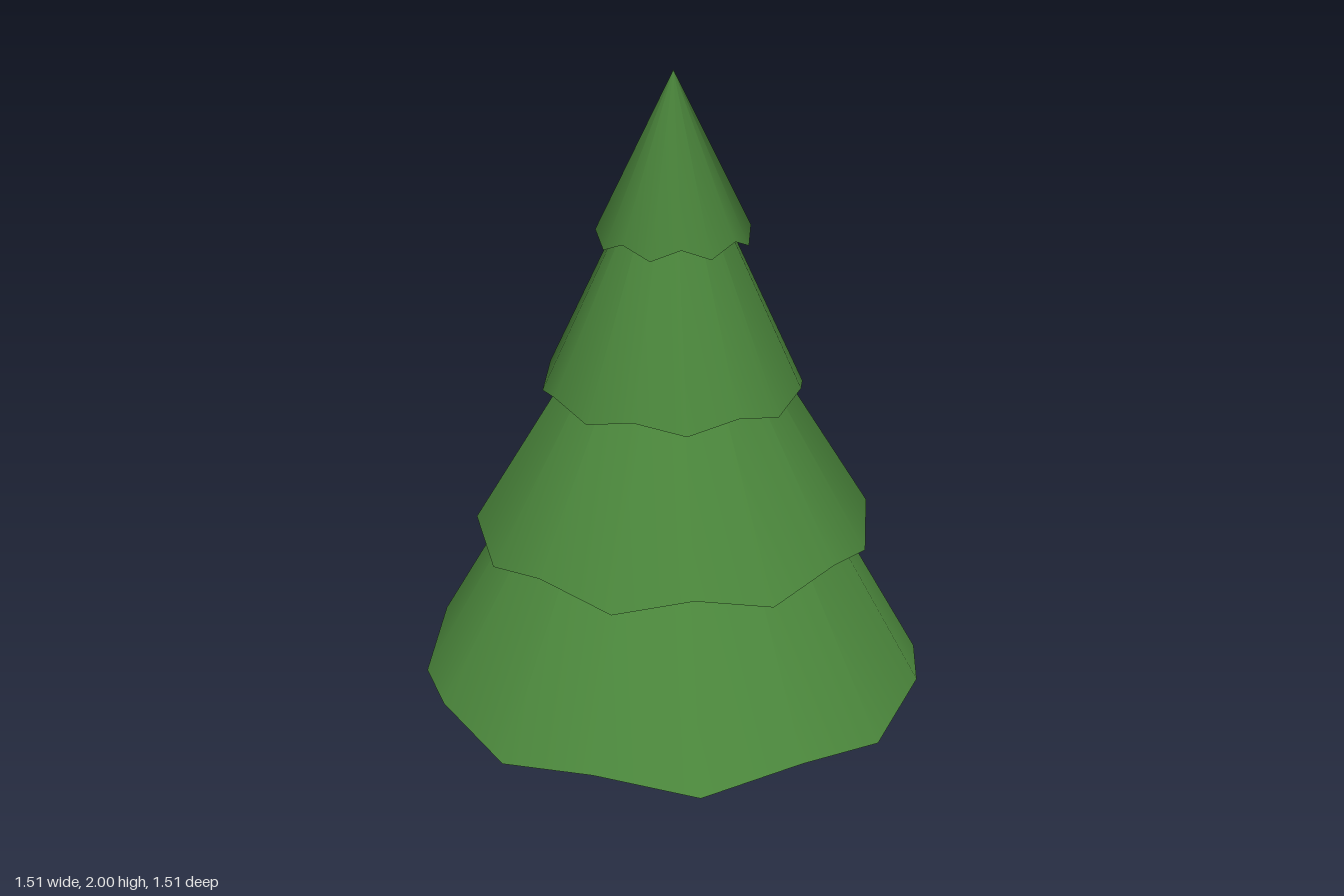
import * as THREE from 'three';

const SIDES = 16;

// Open cone whose rim zigzags between two heights
function tierGeometry(radius, apexY, evenY, oddY) {
  const geo = new THREE.ConeGeometry(radius, 1, SIDES, 1, true);
  const pos = geo.attributes.position;
  for (let i = 0; i < pos.count; i++) {
    const isRim = pos.getY(i) < 0;
    const column = i % (SIDES + 1);
    pos.setY(i, !isRim ? apexY : column % 2 === 0 ? evenY : oddY);
  }
  return geo;
}

export function createModel() {
  const group = new THREE.Group();
  group.name = 'pineTree';

  const needleGreen = new THREE.MeshStandardMaterial({ color: 0x4a853b, side: THREE.DoubleSide });
  needleGreen.name = 'needleGreen';
  const barkBrown = new THREE.MeshStandardMaterial({ color: 0x683229 });
  barkBrown.name = 'barkBrown';

  // Foliage tiers, bottom to top: radius, apex, rim height at even and odd corners
  const tiers = [
    ['bottomTier', 0.757, 1.51, 0.22, 0.165],
    ['lowerMiddleTier', 0.585, 1.62, 0.625, 0.68],
    ['upperMiddleTier', 0.38, 1.9, 1.11, 1.075],
    ['topTier', 0.22, 2.0, 1.52, 1.555],
  ];
  for (const [name, radius, apexY, evenY, oddY] of tiers) {
    const tier = new THREE.Mesh(tierGeometry(radius, apexY, evenY, oddY), needleGreen);
    tier.name = name;
    group.add(tier);
  }

  // Trunk: short, softly shaded capped cylinder
  const profile = [[0, 0], [0.145, 0], [0.145, 0.43], [0, 0.43]].map(([r, y]) => new THREE.Vector2(r, y));
  const trunk = new THREE.Mesh(new THREE.LatheGeometry(profile, SIDES), barkBrown);
  trunk.name = 'trunk';
  group.add(trunk);

  return group;
}
